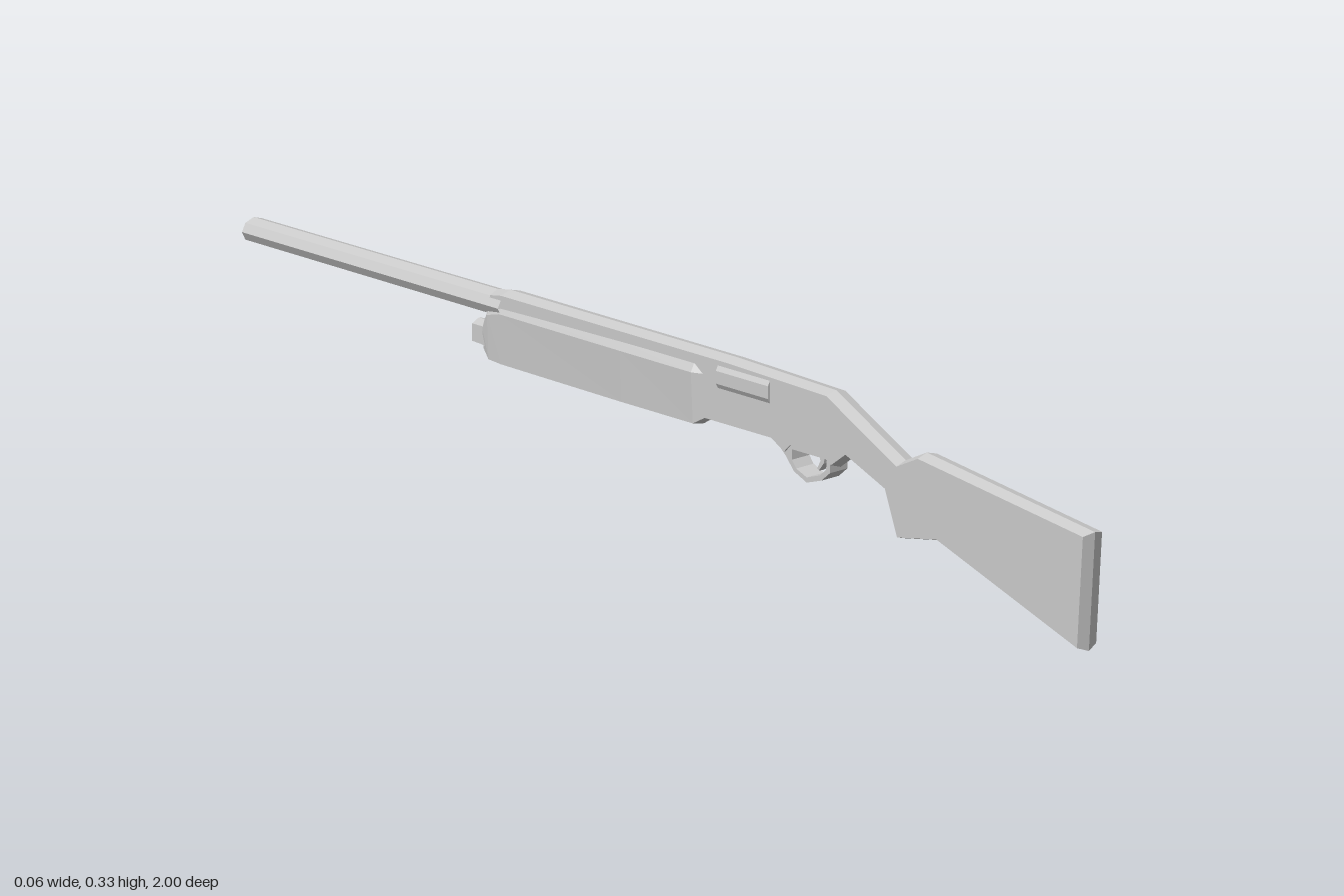
import * as THREE from 'three';

const mat = new THREE.MeshStandardMaterial({ color: 0xcccccc, flatShading: true, side: THREE.DoubleSide });

function add(group, name, geometry) {
  const mesh = new THREE.Mesh(geometry, mat);
  mesh.name = name;
  group.add(mesh);
  return mesh;
}

function fromTriangles(points, index) {
  const g = new THREE.BufferGeometry();
  g.setAttribute('position', new THREE.Float32BufferAttribute(points.flat(), 3));
  g.setIndex(index);
  const flat = g.toNonIndexed();
  flat.computeVertexNormals();
  return flat;
}

// Flat slab from a [z, y] outline whose rim rises to a ridge on the centre line
function ridgedSlab(outline, halfWidth, inset) {
  const pts = outline.map(([z, y]) => new THREE.Vector2(-z, y));
  const n = pts.length;
  const normal = (a, b) => {
    const d = b.clone().sub(a).normalize();
    return new THREE.Vector2(-d.y, d.x);
  };
  const side = pts.map((p, i) => {
    const n1 = normal(pts[(i + n - 1) % n], p);
    const n2 = normal(p, pts[(i + 1) % n]);
    return n1.clone().add(n2).multiplyScalar(inset / (1 + n1.dot(n2))).add(p);
  });
  const ring = (list, x) => list.map((p) => [x, p.y, -p.x]);
  const points = [...ring(side, halfWidth), ...ring(pts, 0), ...ring(side, -halfWidth)];
  const index = [];
  for (const [a, b, c] of THREE.ShapeUtils.triangulateShape(side, [])) {
    index.push(a, b, c, 2 * n + a, 2 * n + c, 2 * n + b);
  }
  for (let r = 0; r < 2; r++) {
    for (let i = 0; i < n; i++) {
      const a = r * n + i, b = r * n + (i + 1) % n;
      index.push(a, a + n, b, b, a + n, b + n);
    }
  }
  return fromTriangles(points, index);
}

// Loft through [z, rings of x, y], running towards -z, with closed ends
function loft(sections) {
  const m = sections[0].ring.length;
  const points = sections.flatMap((s) => s.ring.map(([x, y]) => [x, y, s.z]));
  const index = [];
  for (let s = 0; s < sections.length - 1; s++) {
    for (let i = 0; i < m; i++) {
      const a = s * m + i, b = s * m + (i + 1) % m;
      index.push(a, a + m, b, b, a + m, b + m);
    }
  }
  const last = (sections.length - 1) * m;
  for (let i = 1; i < m - 1; i++) {
    index.push(0, i, i + 1, last, last + i + 1, last + i);
  }
  return fromTriangles(points, index);
}

export function createModel() {
  const model = new THREE.Group();
  model.name = 'longGun';

  // Stock, grip and receiver in one continuous body
  add(model, 'stockAndReceiver', ridgedSlab([
    [1, 0.208], [0.985, 0], [0.645, 0.117], [0.548, 0.1], [0.518, 0.18], [0.43, 0.216],
    [0.395, 0.19], [0.37, 0.205], [0.3, 0.205], [0.285, 0.19], [0.25, 0.208],
    [0.05, 0.208], [-0.4, 0.208], [-0.43, 0.285], [-0.42, 0.321],
    [-0.39, 0.326], [0.15, 0.326], [0.385, 0.32], [0.55, 0.235], [0.6, 0.259],
  ], 0.022, 0.006));

  // Sliding fore-end: widest at the rear, thinning to the front
  const foreRing = (w, bottom, top) => [
    [0, bottom], [w * 0.85, bottom + 0.005], [w, top - 0.014], [w * 0.75, top],
    [-w * 0.75, top], [-w, top - 0.014], [-w * 0.85, bottom + 0.005],
  ];
  add(model, 'foreEnd', loft([
    { z: 0.09, ring: foreRing(0.022, 0.207, 0.303) },
    { z: 0.07, ring: foreRing(0.03, 0.195, 0.303) },
    { z: -0.1, ring: foreRing(0.029, 0.195, 0.303) },
    { z: -0.39, ring: foreRing(0.026, 0.197, 0.303) },
    { z: -0.42, ring: foreRing(0.025, 0.199, 0.295) },
    { z: -0.435, ring: foreRing(0.021, 0.214, 0.268) },
  ]));

  // Cap in front of the fore-end
  add(model, 'tubeCap', ridgedSlab([
    [-0.4, 0.215], [-0.44, 0.221], [-0.465, 0.222], [-0.465, 0.262], [-0.4, 0.262],
  ], 0.02, 0.005));

  // Open eight-sided barrel
  const barrel = new THREE.CylinderGeometry(1, 1.07, 0.61, 8, 1, true);
  barrel.rotateX(-Math.PI / 2);
  barrel.scale(0.027, 0.0205, 1);
  add(model, 'barrel', barrel).position.set(0, 0.299, -0.695);

  // Raised port covers on both sides
  for (const s of [1, -1]) {
    const port = new THREE.CylinderGeometry(0.022, 0.022, 0.124, 6);
    port.rotateX(Math.PI / 2);
    port.scale(0.33, 1, 1);
    add(model, s > 0 ? 'leftPort' : 'rightPort', port).position.set(s * 0.0205, 0.292, 0.188);
  }

  // Trigger guard loop
  const toShape = (Type, list) => new Type(list.map(([z, y]) => new THREE.Vector2(-z, y)));
  const guard = toShape(THREE.Shape, [
    [0.392, 0.212], [0.39, 0.182], [0.37, 0.165], [0.335, 0.154], [0.305, 0.167], [0.285, 0.19], [0.26, 0.212],
  ]);
  guard.holes.push(toShape(THREE.Path, [
    [0.383, 0.204], [0.3, 0.204], [0.3, 0.186], [0.31, 0.173], [0.335, 0.163], [0.366, 0.173], [0.381, 0.186],
  ]));
  const guardGeo = new THREE.ExtrudeGeometry(guard, { depth: 0.04, bevelEnabled: false });
  guardGeo.translate(0, 0, -0.02);
  guardGeo.rotateY(Math.PI / 2);
  add(model, 'triggerGuard', guardGeo);

  // Trigger
  add(model, 'trigger', ridgedSlab([
    [0.37, 0.215], [0.364, 0.19], [0.352, 0.175], [0.346, 0.178], [0.354, 0.193], [0.352, 0.215],
  ], 0.008, 0.001));

  return model;
}
